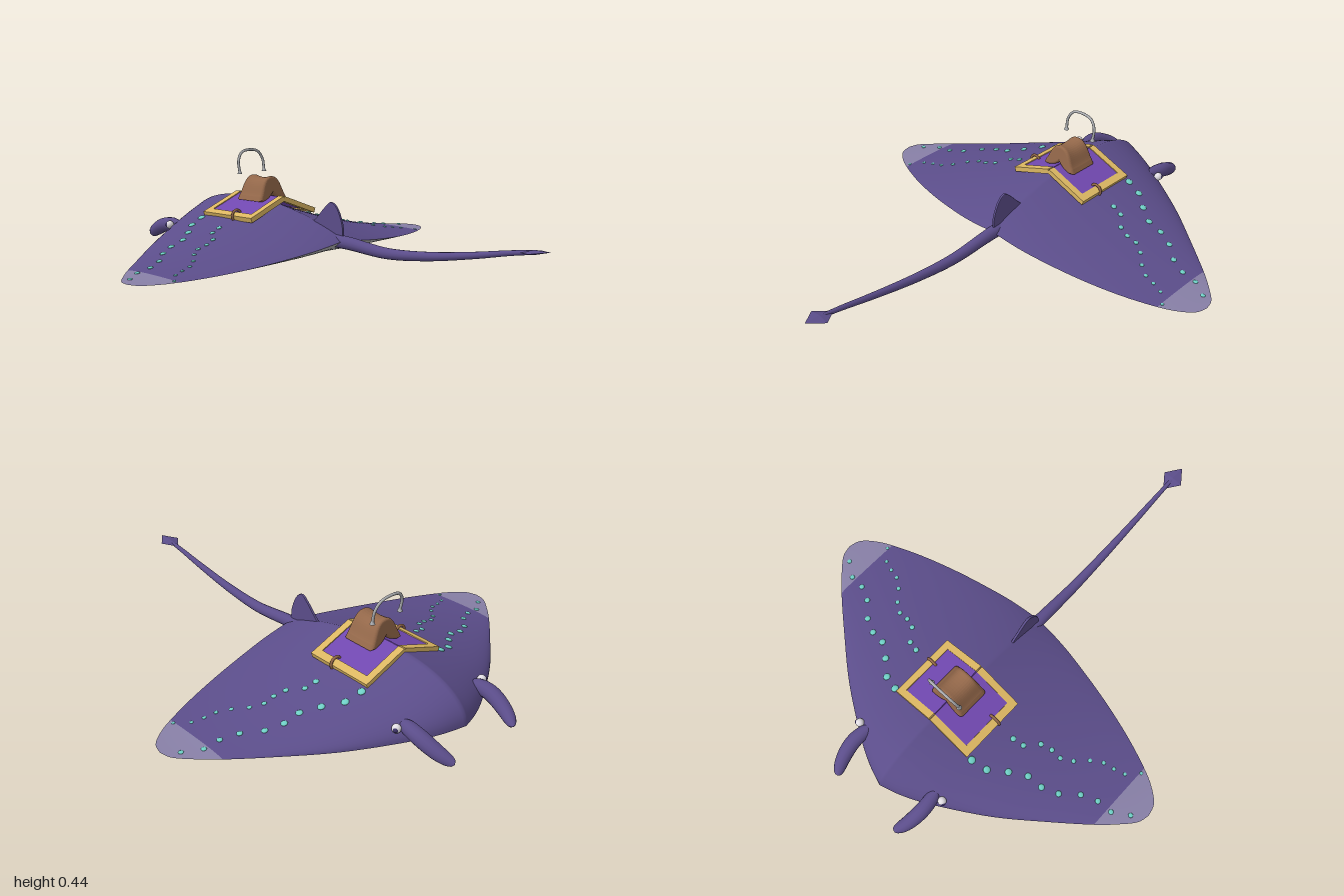
import * as THREE from 'three';

const mat = (name, color) => {
  const m = new THREE.MeshStandardMaterial({ color });
  m.name = name;
  return m;
};
const V = (x, y, z) => new THREE.Vector3(x, y, z);

// Wing outline: leading and trailing edges share the same x knots
const spanX = [0, 0.1, 0.22, 0.42, 0.6, 0.745, 0.82, 0.87, 0.885];
const leadZ = [-0.91, -0.876, -0.815, -0.69, -0.55, -0.43, -0.358, -0.3, -0.25];
const trailZ = [0.05, 0.045, 0.03, -0.01, -0.06, -0.115, -0.155, -0.2, -0.25];
const edge = (zs) => new THREE.SplineCurve(spanX.map((x, i) => new THREE.Vector2(x, zs[i])));
const lead = edge(leadZ), trail = edge(trailZ);
const TIP = 5 / 8; // span parameter where the pale wing tip begins

// Point on the body: s runs from right tip (-1) to left tip (1), t from nose to tail
function bodyPoint(s, t, belly) {
  const f = lead.getPoint(Math.abs(s)), b = trail.getPoint(Math.abs(s));
  const g = Math.pow(Math.max(0, 1 - f.x / 0.885), 1.65);
  const rim = 0.045 + 0.032 * t;
  const y = belly
    ? rim - (rim + 0.003) * (1 - Math.pow(Math.abs(2 * t - 1), 5))
    : rim + (0.217 - rim) * Math.sqrt(t) * Math.pow(Math.max(0, 1 - t), 0.85) / 0.411;
  return V(Math.sign(s) * f.x, 0.018 + g * y, f.y + (b.y - f.y) * t);
}

// Height of the back at a given x, z
function backHeight(x, z) {
  let lo = 0, hi = 1;
  for (let i = 0; i < 30; i++) {
    const m = (lo + hi) / 2;
    if (lead.getPoint(m).x < x) lo = m; else hi = m;
  }
  const f = lead.getPoint(lo).y, b = trail.getPoint(lo).y;
  return bodyPoint(lo, THREE.MathUtils.clamp((z - f) / (b - f), 0, 1), false).y;
}

function bodyPatch(s0, s1, belly) {
  const nu = 56, nv = 36, pos = [], idx = [];
  for (let i = 0; i <= nu; i++) for (let j = 0; j <= nv; j++)
    pos.push(...bodyPoint(s0 + (s1 - s0) * i / nu, (1 - Math.cos(Math.PI * j / nv)) / 2, belly));
  for (let i = 0; i < nu; i++) for (let j = 0; j < nv; j++) {
    const a = i * (nv + 1) + j, b = a + nv + 1;
    if (belly) idx.push(a, b, a + 1, b, b + 1, a + 1);
    else idx.push(a, a + 1, b, b, a + 1, b + 1);
  }
  const g = new THREE.BufferGeometry();
  g.setAttribute('position', new THREE.Float32BufferAttribute(pos, 3));
  g.setIndex(idx);
  g.computeVertexNormals();
  return g;
}

// Tube whose radius follows a rule along its path
function taperedTube(points, radius, segs = 32, sides = 14) {
  const curve = new THREE.CatmullRomCurve3(points);
  const g = new THREE.TubeGeometry(curve, segs, 1, sides);
  const p = g.attributes.position, v = V(0, 0, 0);
  for (let i = 0; i <= segs; i++) {
    const c = curve.getPointAt(i / segs), r = radius(i / segs);
    for (let j = 0; j <= sides; j++) {
      const k = i * (sides + 1) + j;
      v.fromBufferAttribute(p, k).sub(c).multiplyScalar(r).add(c);
      p.setXYZ(k, v.x, v.y, v.z);
    }
  }
  return g;
}

// Arched seat, narrower towards the top and dipped in the middle
function seatGeometry() {
  const arch = new THREE.Shape();
  arch.moveTo(-0.07, 0.235);
  arch.bezierCurveTo(-0.045, 0.265, -0.045, 0.322, 0, 0.322);
  arch.bezierCurveTo(0.045, 0.322, 0.045, 0.265, 0.07, 0.235);
  arch.quadraticCurveTo(0.03, 0.238, 0, 0.275);
  arch.quadraticCurveTo(-0.03, 0.238, -0.07, 0.235);
  const g = new THREE.ExtrudeGeometry(arch, {
    depth: 0.116, steps: 8, bevelSize: 0.012, bevelThickness: 0.014, bevelSegments: 5, curveSegments: 14,
  });
  g.translate(0, 0, -0.058);
  const p = g.attributes.position;
  for (let i = 0; i < p.count; i++) {
    const h = (p.getY(i) - 0.225) / 0.11, z = p.getZ(i);
    p.setY(i, p.getY(i) - 0.012 * h * (1 - (z / 0.072) ** 2));
    p.setZ(i, z * (1.04 - 0.2 * h));
  }
  g.computeVertexNormals();
  return g;
}

export function createModel() {
  const skin = mat('violet skin', 0x5b4d8a);
  const pale = mat('pale wing tip', 0x877fa6);
  const under = mat('pale grey belly', 0xb4b4b6);
  const dark = mat('dark violet gill', 0x3c3266);
  const teal = mat('teal spot', 0x6fd0c6);
  const cloth = mat('purple cloth', 0x7148b0);
  const gold = mat('gold trim', 0xdcb762);
  const leather = mat('brown leather', 0x94684a);
  const steel = mat('steel', 0xacaeb2);
  const white = mat('eye white', 0xe2dee4);

  const model = new THREE.Group();
  model.name = 'saddledRay';
  const add = (name, geo, material, pos, parent = model) => {
    const m = new THREE.Mesh(geo, material);
    m.name = name;
    if (pos) m.position.copy(pos);
    parent.add(m);
    return m;
  };

  // Body
  add('back', bodyPatch(-TIP, TIP, false), skin);
  add('rightWingTip', bodyPatch(-1, -TIP, false), pale);
  add('leftWingTip', bodyPatch(TIP, 1, false), pale);
  add('belly', bodyPatch(-1, 1, true), under);

  // Spot rows: start x, step x, starting radius and the z of each spot
  const rows = [
    { x: 0.22, dx: 0.0678, r: 0.016, z: [-0.59, -0.575, -0.52, -0.476, -0.47, -0.44, -0.38, -0.35, -0.345, -0.3] },
    { x: 0.28, dx: 0.047, r: 0.012, z: [-0.41, -0.4, -0.345, -0.33, -0.33, -0.3, -0.25, -0.217, -0.206, -0.19, -0.14] },
  ];
  const hornRadius = (t) =>
    (0.026 + 0.03 * t - 0.036 * t * t) * Math.sqrt(Math.max(0, 1 - Math.pow(2 * t - 1, 8)));

  for (const side of [1, -1]) {
    const label = side > 0 ? 'left' : 'right';
    // Head fins and eyes
    add(label + 'HeadFin', taperedTube([
      V(side * 0.195, 0.1, -0.77), V(side * 0.203, 0.088, -0.86),
      V(side * 0.19, 0.056, -0.94), V(side * 0.165, 0.026, -1)], hornRadius), skin);
    add(label + 'Eye', new THREE.SphereGeometry(0.018, 14, 10), white, V(side * 0.238, 0.1, -0.785));
    add(label + 'Pupil', new THREE.SphereGeometry(0.011, 12, 8), dark, V(side * 0.247, 0.1, -0.79));

    // Flattened spots lying on the back
    for (const row of rows) row.z.forEach((z, i) => {
      const x = row.x + row.dx * i;
      const y = backHeight(x, z), slope = (backHeight(x + 0.01, z) - y) / 0.01;
      const spot = add(label + 'Spot', new THREE.SphereGeometry(row.r * (1 - 0.04 * i), 12, 8), teal,
        V(side * x, y + 0.001, z));
      spot.scale.y = 0.45;
      spot.rotation.z = side * Math.atan(slope);
    });

    // Gill slits, inner ends swept forward
    for (let i = 0; i < 5; i++) {
      const gill = add(label + 'Gill', new THREE.CapsuleGeometry(0.0065, 0.13 - 0.008 * i, 4, 8), dark,
        V(side * 0.115, 0.0085, -0.43 - 0.058 * i));
      gill.rotation.set(Math.PI / 2, 0, side * (Math.PI / 2 + 0.22));
    }

    // Saddle cloth half, sloping down from the spine
    const half = new THREE.Group();
    half.name = label + 'SaddleCloth';
    half.position.set(side * 0.098, 0.202, -0.447);
    half.rotation.z = -side * 0.353;
    model.add(half);
    add('cloth', new THREE.BoxGeometry(0.21, 0.014, 0.29), cloth, null, half);
    add('outerTrim', new THREE.BoxGeometry(0.034, 0.022, 0.3), gold, V(side * 0.09, 0, 0), half);
    for (const end of [-1, 1])
      add('endTrim', new THREE.BoxGeometry(0.21, 0.022, 0.03), gold, V(0, 0, end * 0.135), half);

    // Strap ring on the cloth
    add(label + 'StrapRing', new THREE.TorusGeometry(0.025, 0.006, 8, 20), leather, V(side * 0.178, 0.173, -0.41));

    // Handle foot
    add(label + 'HandleFoot', new THREE.CylinderGeometry(0.005, 0.011, 0.014, 12), steel, V(side * 0.075, 0.346, -0.495));
  }

  add('saddleSeat', seatGeometry(), leather, V(0, 0, -0.432));

  // Handle hoop
  add('handle', new THREE.TubeGeometry(new THREE.CatmullRomCurve3([
    V(-0.075, 0.345, -0.495), V(-0.074, 0.395, -0.503), V(-0.05, 0.43, -0.509), V(0, 0.44, -0.511),
    V(0.05, 0.43, -0.509), V(0.074, 0.395, -0.503), V(0.075, 0.345, -0.495)]), 40, 0.006, 10), steel);

  // Dorsal fin at the root of the tail
  const fin = new THREE.Shape();
  fin.moveTo(-0.04, 0.11);
  fin.splineThru([[-0.035, 0.16], [-0.01, 0.22], [0.022, 0.245], [0.055, 0.222], [0.09, 0.185], [0.12, 0.155]]
    .map(([a, b]) => new THREE.Vector2(a, b)));
  fin.lineTo(0.08, 0.11);
  const finGeo = new THREE.ExtrudeGeometry(fin, {
    depth: 0.004, bevelSize: 0.004, bevelThickness: 0.004, bevelSegments: 2,
  });
  finGeo.translate(0, 0, -0.002);
  finGeo.rotateY(Math.PI / 2);
  add('dorsalFin', finGeo, skin);

  // Tail and its diamond tip
  add('tail', taperedTube([
    V(0, 0.09, -0.02), V(0, 0.085, 0.08), V(0, 0.069, 0.27), V(0, 0.083, 0.47),
    V(0, 0.115, 0.68), V(0, 0.145, 0.84), V(0, 0.16, 0.94)], (t) => 0.029 - 0.021 * t, 48), skin);
  const tip = new THREE.OctahedronGeometry(1);
  tip.scale(0.048, 0.009, 0.064);
  add('tailTip', tip, skin, V(0, 0.159, 0.932)).rotation.x = -0.12;

  return model;
}
